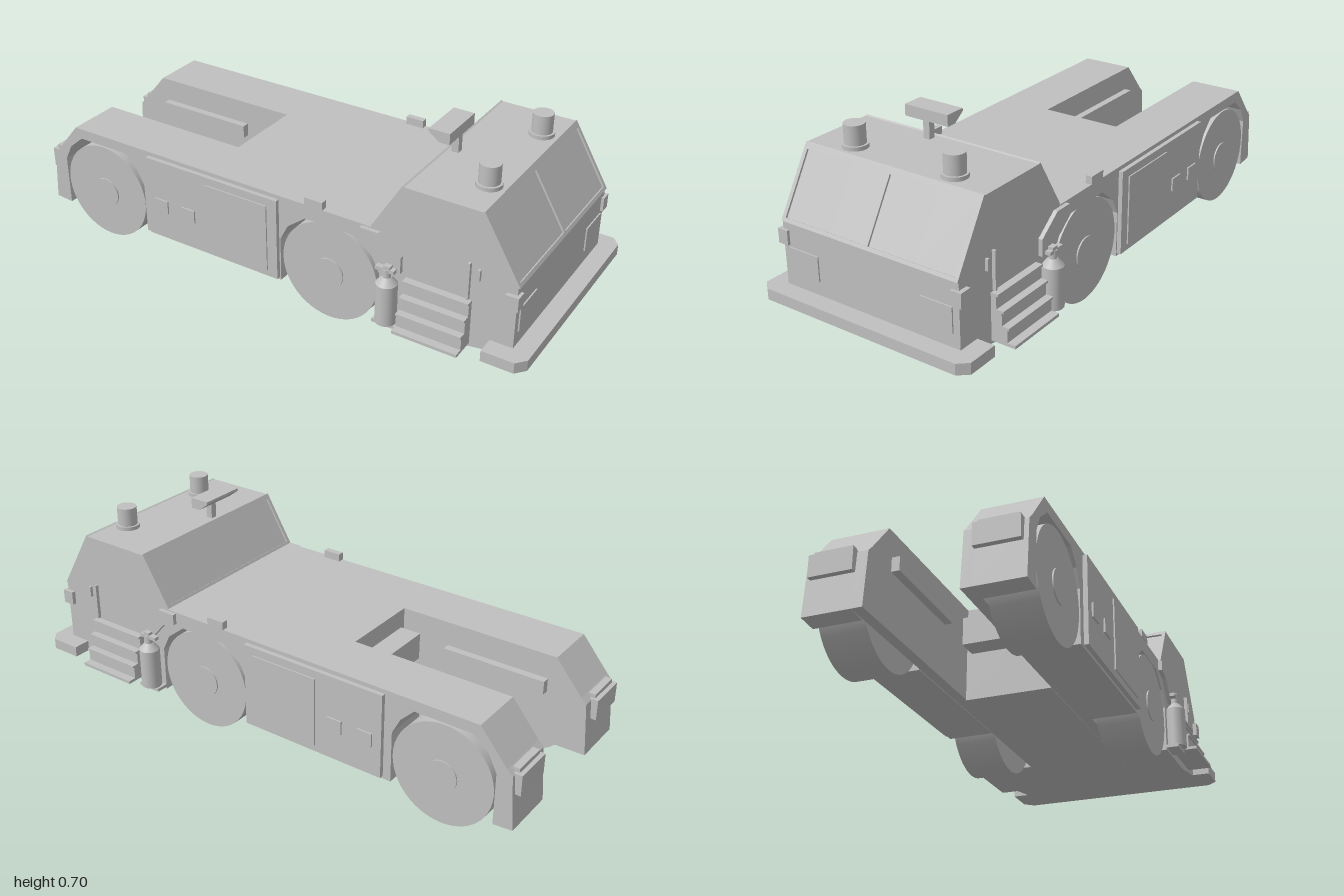
import * as THREE from 'three';

export function createModel() {
  const root = new THREE.Group();
  root.name = 'towTractor';
  const paint = new THREE.MeshStandardMaterial({ color: 0xc0c0c0 });
  paint.name = 'light grey';

  function add(name, geometry) {
    const mesh = new THREE.Mesh(geometry, paint);
    mesh.name = name;
    root.add(mesh);
    return mesh;
  }
  // Box given by its limits on each axis
  function box(name, x0, x1, y0, y1, z0, z1) {
    const mesh = add(name, new THREE.BoxGeometry(x1 - x0, y1 - y0, z1 - z0));
    mesh.position.set((x0 + x1) / 2, (y0 + y1) / 2, (z0 + z1) / 2);
    return mesh;
  }
  // Side profile in x,y extruded between two z limits
  function slab(name, points, z0, z1) {
    const shape = new THREE.Shape(points.map(([x, y]) => new THREE.Vector2(x, y)));
    const g = new THREE.ExtrudeGeometry(shape, { depth: z1 - z0, bevelEnabled: false });
    g.translate(0, 0, z0);
    return add(name, g);
  }
  const boxOn = (s, name, x0, x1, y0, y1, z0, z1) =>
    box(name, x0, x1, y0, y1, s > 0 ? z0 : -z1, s > 0 ? z1 : -z0);
  const slabOn = (s, name, pts, z0, z1) =>
    slab(name, pts, s > 0 ? z0 : -z1, s > 0 ? z1 : -z0);
  function cylinder(name, r, x, y0, y1, z, rTop = r, segments = 32) {
    const mesh = add(name, new THREE.CylinderGeometry(rTop, r, y1 - y0, segments));
    mesh.position.set(x, (y0 + y1) / 2, z);
    return mesh;
  }
  // Thin strip on a sloping face, between fractions a and b of the slope
  function slopeStrip(name, p, q, a, b, z0, z1) {
    const dx = q[0] - p[0], dy = q[1] - p[1];
    const mesh = add(name, new THREE.BoxGeometry(Math.hypot(dx, dy) * (b - a), 0.014, z1 - z0));
    const m = (a + b) / 2;
    mesh.position.set(p[0] + dx * m, p[1] + dy * m, (z0 + z1) / 2);
    mesh.rotation.z = Math.atan2(dy, dx);
  }

  // Hull: outer layers with wheel arches, solid inner layers, open slot at the rear
  const cabTop = [[0.935, 0.12], [0.935, 0.375], [0.8, 0.603], [0.53, 0.603], [0.42, 0.42]];
  const tail = [[-0.855, 0.42], [-0.955, 0.3], [-0.975, 0.28], [-0.99, 0.085]];
  const rearArch = [[-0.92, 0.08], [-0.92, 0.27], [-0.89, 0.33], [-0.83, 0.38],
    [-0.62, 0.38], [-0.57, 0.33], [-0.54, 0.27], [-0.54, 0.08]];
  const frontArch = [[0.06, 0.08], [0.06, 0.25], [0.09, 0.31], [0.16, 0.365],
    [0.35, 0.365], [0.42, 0.31], [0.45, 0.25], [0.45, 0.08]];
  const sideProfile = [...rearArch, ...frontArch, [0.68, 0.08], ...cabTop, ...tail];
  const solidProfile = [[0.68, 0.08], ...cabTop, ...tail];
  const centreProfile = [[-0.255, 0.08], [0.68, 0.08], ...cabTop, [-0.255, 0.42]];
  slab('hullCentre', centreProfile, -0.153, 0.153);

  for (const s of [1, -1]) {
    slabOn(s, 'hullSide', sideProfile, 0.19, 0.355);
    slabOn(s, 'hullInner', solidProfile, 0.153, 0.19);

    // Wheels with raised hub caps
    for (const x of [-0.73, 0.255]) {
      const tyre = add('wheel', new THREE.CylinderGeometry(0.186, 0.186, 0.157, 48));
      tyre.rotation.x = Math.PI / 2;
      tyre.position.set(x, 0.186, s * 0.2735);
      const hub = add('hubCap', new THREE.CylinderGeometry(0.056, 0.056, 0.01, 32));
      hub.rotation.x = Math.PI / 2;
      hub.position.set(x, 0.182, s * 0.352);
    }

    // Equipment panel, door and small hatches
    boxOn(s, 'sidePanel', -0.51, 0.055, 0.09, 0.405, 0.35, 0.371);
    boxOn(s, 'panelDoor', -0.245, 0.015, 0.115, 0.375, 0.37, 0.376);
    for (const x of [-0.475, -0.355]) boxOn(s, 'hatch', x, x + 0.058, 0.2, 0.25, 0.37, 0.377);

    // Mudguard behind the cab step
    slabOn(s, 'mudguard', [[0.38, 0.415], [0.45, 0.415], [0.535, 0.35], [0.535, 0.29],
      [0.49, 0.29], [0.43, 0.36], [0.38, 0.375]], 0.35, 0.37);

    // Cab steps widening downward
    for (let i = 0; i < 3; i++) {
      const top = 0.275 - i * 0.052;
      boxOn(s, 'cabStep', 0.55, 0.785, top - 0.052, top - 0.008, 0.35, 0.375 + i * 0.02);
      boxOn(s, 'stepTread', 0.55, 0.785, top - 0.008, top, 0.35, 0.382 + i * 0.02);
    }
    boxOn(s, 'stepPlate', 0.55, 0.785, 0.108, 0.119, 0.35, 0.445);

    // Fire extinguisher on its bracket
    const ez = s * 0.384;
    boxOn(s, 'extinguisherBracket', 0.45, 0.54, 0.088, 0.1, 0.35, 0.4);
    cylinder('extinguisherBody', 0.037, 0.495, 0.1, 0.25, ez);
    cylinder('extinguisherShoulder', 0.037, 0.495, 0.25, 0.275, ez, 0.016);
    cylinder('extinguisherNeck', 0.014, 0.495, 0.275, 0.305, ez);
    boxOn(s, 'extinguisherHandle', 0.455, 0.525, 0.295, 0.308, 0.374, 0.394);
    boxOn(s, 'extinguisherGrip', 0.485, 0.51, 0.308, 0.318, 0.374, 0.394);

    // Grab handle, marker lamps and headlamp
    boxOn(s, 'grabHandle', 0.768, 0.776, 0.28, 0.415, 0.355, 0.368);
    boxOn(s, 'doorLatch', 0.8, 0.81, 0.36, 0.4, 0.355, 0.366);
    boxOn(s, 'cornerLamp', 0.9, 0.945, 0.298, 0.35, 0.33, 0.37);
    boxOn(s, 'headlamp', 0.93, 0.94, 0.2, 0.29, 0.208, 0.33);
    boxOn(s, 'deckLamp', 0.16, 0.23, 0.42, 0.449, 0.333, 0.357);

    // Rear lamps and guide rails in the slot
    boxOn(s, 'rearLamp', -1, -0.97, 0.21, 0.285, 0.19, 0.34);
    boxOn(s, 'rearLampLens', -0.985, -0.96, 0.285, 0.3, 0.2, 0.33);
    boxOn(s, 'guideRail', -0.83, -0.44, 0.28, 0.33, 0.125, 0.16);

    // Roof beacons
    cylinder('beaconBase', 0.044, 0.745, 0.6, 0.617, s * 0.2);
    cylinder('beacon', 0.036, 0.745, 0.617, 0.685, s * 0.2);
  }

  // Window frames on both sloping cab faces
  const slopes = [['windscreenFrame', [0.935, 0.375], [0.8, 0.603]],
    ['rearWindowFrame', [0.42, 0.42], [0.53, 0.603]]];
  for (const [name, p, q] of slopes) {
    slopeStrip(name, p, q, 0, 0.05, -0.355, 0.355);
    slopeStrip(name, p, q, 0.91, 1, -0.355, 0.355);
    for (const s of [1, -1]) slopeStrip(name, p, q, 0.05, 0.91, s > 0 ? 0.341 : -0.355, s > 0 ? 0.355 : -0.341);
  }
  slopeStrip('windscreenPost', [0.935, 0.375], [0.8, 0.603], 0.05, 0.91, -0.005, 0.005);

  // Coupling block inside the slot
  box('couplingBlock', -0.335, -0.25, 0.25, 0.35, -0.135, 0.135);

  // Front bumper with clipped corners
  const bumper = new THREE.Shape([[0.855, -0.42], [0.97, -0.42], [1, -0.385], [1, 0.385],
    [0.97, 0.42], [0.855, 0.42]].map(([x, z]) => new THREE.Vector2(x, z)));
  const bumperGeometry = new THREE.ExtrudeGeometry(bumper, { depth: 0.04, bevelEnabled: false });
  bumperGeometry.rotateX(-Math.PI / 2);
  bumperGeometry.translate(0, 0.11, 0);
  add('frontBumper', bumperGeometry);

  // Roof camera on a mast
  box('cameraMast', 0.545, 0.57, 0.6, 0.67, 0.043, 0.068);
  slab('cameraHead', [[0.535, 0.665], [0.572, 0.665], [0.572, 0.705], [0.495, 0.705], [0.495, 0.695]], -0.035, 0.14);

  return root;
}
